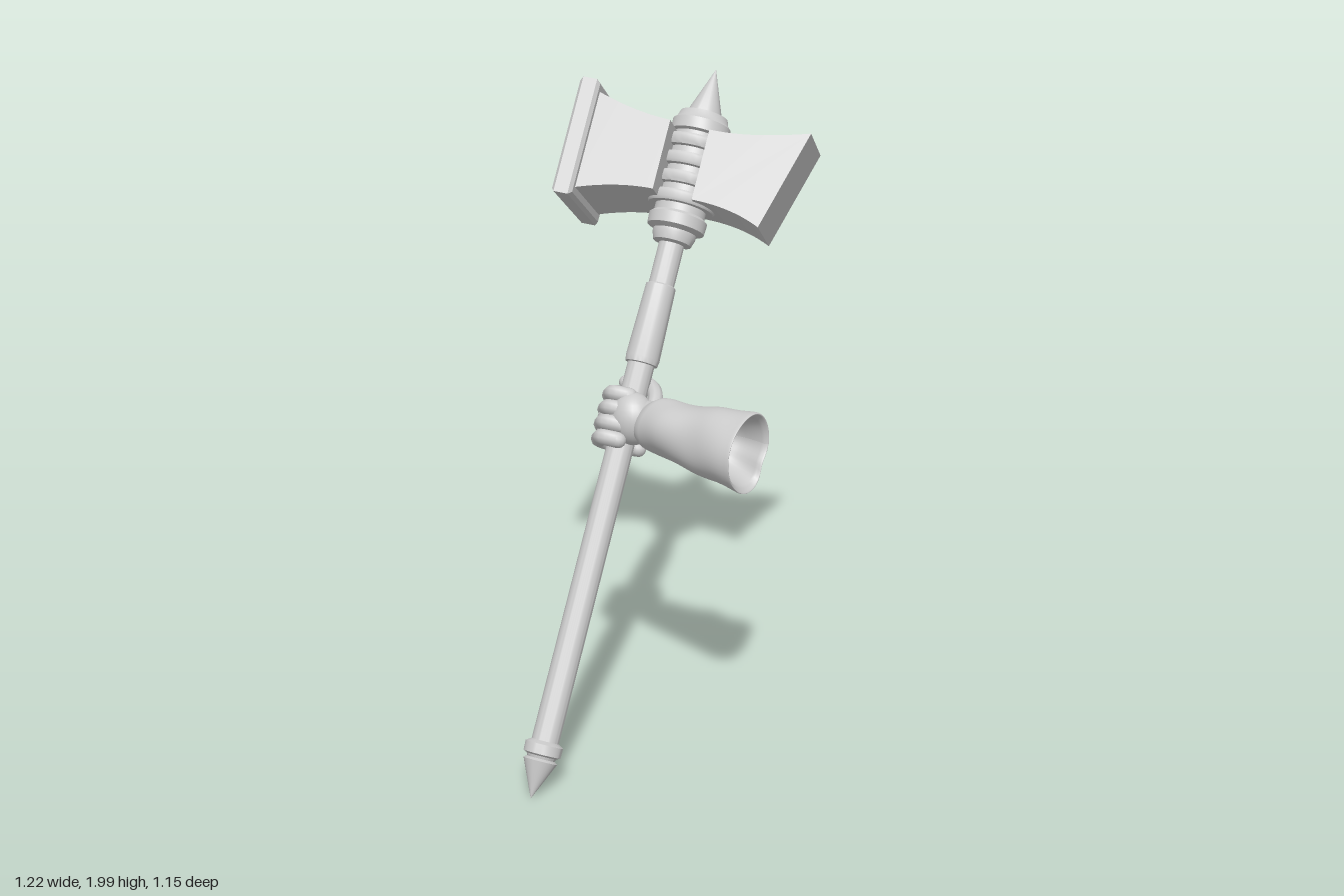
import * as THREE from 'three';
import { toCreasedNormals } from 'three/addons/utils/BufferGeometryUtils.js';
import { ParametricGeometry } from 'three/addons/geometries/ParametricGeometry.js';

const grey = new THREE.MeshStandardMaterial({ color: 0xcccccc });
const greyDouble = new THREE.MeshStandardMaterial({ color: 0xcccccc, side: THREE.DoubleSide });
const V = (x, y, z) => new THREE.Vector3(x, y, z);

function add(parent, name, geometry, material = grey) {
  const mesh = new THREE.Mesh(geometry, material);
  mesh.name = name;
  parent.add(mesh);
  return mesh;
}

// Turned part from [radius, height] pairs, with sharp edges kept.
function turned(pairs, sides = 40) {
  const geo = new THREE.LatheGeometry(pairs.map(([r, y]) => new THREE.Vector2(r, y)), sides);
  return toCreasedNormals(geo, 0.6);
}

// Side outline (x = along the head, y = up the shaft) given thickness across the head.
function slab(shape, width) {
  const geo = new THREE.ExtrudeGeometry(shape, { depth: width, bevelEnabled: false, curveSegments: 10 });
  geo.translate(0, 0, -width / 2);
  geo.rotateY(-Math.PI / 2);
  return toCreasedNormals(geo, 0.5);
}

// Tube with rounded ends through a few points.
function digit(parent, name, points, radius) {
  const group = new THREE.Group();
  group.name = name;
  parent.add(group);
  add(group, name + 'Length', new THREE.TubeGeometry(new THREE.CatmullRomCurve3(points), 24, radius, 10));
  for (const p of [points[0], points[points.length - 1]]) {
    add(group, name + 'End', new THREE.SphereGeometry(radius, 12, 8)).position.copy(p);
  }
}

function buildShaft(hammer) {
  add(hammer, 'shaft', turned([
    [0.042, 0.12], [0.042, 1.35], [0.05, 1.352], [0.053, 1.37], [0.047, 1.6], [0.04, 1.605], [0.04, 1.78],
  ]));
  add(hammer, 'pommel', turned([
    [0, 0], [0.052, 0.115], [0.042, 0.122], [0.046, 0.13], [0.057, 0.135], [0.058, 0.165], [0.042, 0.175],
  ]));
}

function buildHead(hammer) {
  // Core with stepped collars below and above the blocks
  add(hammer, 'headCore', turned([
    [0.04, 1.735], [0.06, 1.74], [0.068, 1.765], [0.068, 1.775], [0.09, 1.785], [0.092, 1.82],
    [0.08, 1.83], [0.08, 2.085], [0.092, 2.09], [0.092, 2.125], [0.082, 2.135], [0.075, 2.155], [0.05, 2.16], [0, 2.16],
  ]));
  add(hammer, 'spike', turned([[0.055, 2.145], [0.055, 2.16], [0, 2.309]]));

  // Bands around the core
  for (let i = 0; i < 4; i++) {
    const y = 1.87 + i * 0.06;
    add(hammer, 'band' + (i + 1), turned([
      [0.075, y - 0.018], [0.102, y - 0.018], [0.107, y - 0.01], [0.107, y + 0.01], [0.102, y + 0.018], [0.075, y + 0.018],
    ]));
  }

  // Front block, flared and cut at a slant
  const front = new THREE.Shape();
  front.moveTo(0.055, 1.86);
  front.quadraticCurveTo(0.18, 1.86, 0.275, 1.815);
  front.lineTo(0.365, 2.13);
  front.quadraticCurveTo(0.18, 2.08, 0.055, 2.085);
  front.closePath();
  add(hammer, 'slantedBlock', slab(front, 0.226));

  // Back block, flared towards its striking plate
  const back = new THREE.Shape();
  back.moveTo(-0.06, 1.86);
  back.lineTo(-0.06, 2.08);
  back.quadraticCurveTo(-0.18, 2.085, -0.31, 2.13);
  back.lineTo(-0.31, 1.815);
  back.quadraticCurveTo(-0.18, 1.86, -0.06, 1.86);
  add(hammer, 'plateBlock', slab(back, 0.315));

  // Striking plate with chamfered rim
  const s = 0.174;
  const square = new THREE.Shape([[-s, -s], [s, -s], [s, s], [-s, s]].map(([x, y]) => new THREE.Vector2(x, y)));
  const plate = new THREE.ExtrudeGeometry(square, {
    depth: 0.045, bevelThickness: 0.01, bevelSize: 0.011, bevelSegments: 1,
  });
  add(hammer, 'strikingPlate', plate).position.set(0, 1.972, -0.354);
}

// Four fingers curled round the shaft
function buildFingers(hammer) {
  for (let i = 0; i < 4; i++) {
    const points = [];
    const reach = 0.064 + 0.006 * Math.sin((i + 0.5) * Math.PI / 4);
    for (let k = 0; k <= 6; k++) {
      const a = THREE.MathUtils.degToRad(175 + k * 38);
      const r = reach + (k === 1 || k === 3 ? 0.012 : 0);
      points.push(V(r * Math.cos(a), 1.1 + i * 0.046, r * Math.sin(a)));
    }
    digit(hammer, 'finger' + (i + 1), points, 0.025);
  }
}

// Sleeve with folds, open at the cuff and hollow inside
function buildArm(model) {
  const arm = new THREE.Group();
  arm.name = 'arm';
  model.add(arm);
  // z, centre x, centre y, half width, half height
  const rings = [
    [0.11, -0.09, 1.035, 0.055, 0.058],
    [0.17, -0.075, 1.03, 0.064, 0.068],
    [0.2, -0.064, 1.03, 0.08, 0.084],
    [0.27, -0.04, 1.03, 0.093, 0.09],
    [0.35, 0.0, 1.03, 0.104, 0.097],
    [0.43, 0.025, 1.028, 0.106, 0.108],
    [0.515, 0.053, 1.027, 0.101, 0.122],
    [0.527, 0.055, 1.027, 0.097, 0.119],
    [0.515, 0.053, 1.027, 0.088, 0.108],
    [0.43, 0.03, 1.028, 0.08, 0.085],
    [0.35, 0.005, 1.03, 0.05, 0.05],
    [0.34, 0.0, 1.03, 0.002, 0.002],
  ];
  const centres = new THREE.CatmullRomCurve3(rings.map(r => V(r[1], r[2], r[0])));
  const radii = new THREE.CatmullRomCurve3(rings.map(r => V(r[3], r[4], 0)));
  const c = V(), r = V();
  const sleeve = new ParametricGeometry((u, v, target) => {
    centres.getPoint(v, c);
    radii.getPoint(v, r);
    const a = u * Math.PI * 2;
    const open = THREE.MathUtils.smoothstep(c.z, 0.18, 0.5);
    const fold = 1 + 0.03 * Math.sin(3 * a + c.z * 22) + 0.025 * Math.sin(2 * a - c.z * 35)
      - 0.16 * open * Math.exp(-(((a - 5.7) / 0.4) ** 2));
    const x = r.x * fold * Math.cos(a);
    target.set(c.x + x, c.y + r.y * fold * Math.sin(a), c.z - 0.5 * open * x);
  }, 48, 66);
  add(arm, 'sleeve', sleeve, greyDouble);

  // Palm, back of the hand and thumb
  const palm = add(arm, 'palm', new THREE.SphereGeometry(1, 24, 16));
  palm.scale.set(0.068, 0.083, 0.075);
  palm.position.set(-0.112, 1.035, 0.115);
  const heel = add(arm, 'backOfHand', new THREE.SphereGeometry(1, 24, 16));
  heel.scale.set(0.038, 0.078, 0.07);
  heel.rotation.z = -0.45;
  heel.position.set(-0.155, 1.03, 0.075);
  digit(arm, 'thumb', [
    V(-0.065, 1.05, 0.15), V(-0.025, 1.085, 0.1), V(-0.012, 1.1, 0.04), V(-0.03, 1.105, -0.005), V(-0.06, 1.1, -0.022),
  ], 0.024);
}

export function createModel() {
  const model = new THREE.Group();
  model.name = 'hammerInHand';

  // The hammer is built upright from its lower tip, then tilted as a whole.
  const hammer = new THREE.Group();
  hammer.name = 'hammer';
  const up = V(0.98, 1.99, -0.64).normalize();
  const along = V(0.7, -0.117, 0.711);
  along.addScaledVector(up, -along.dot(up)).normalize();
  const across = V().crossVectors(up, along);
  hammer.quaternion.setFromRotationMatrix(new THREE.Matrix4().makeBasis(across, up, along));
  hammer.position.set(-0.608, 0.005, 0.4);
  model.add(hammer);

  buildShaft(hammer);
  buildHead(hammer);
  buildFingers(hammer);
  buildArm(model);
  return model;
}
